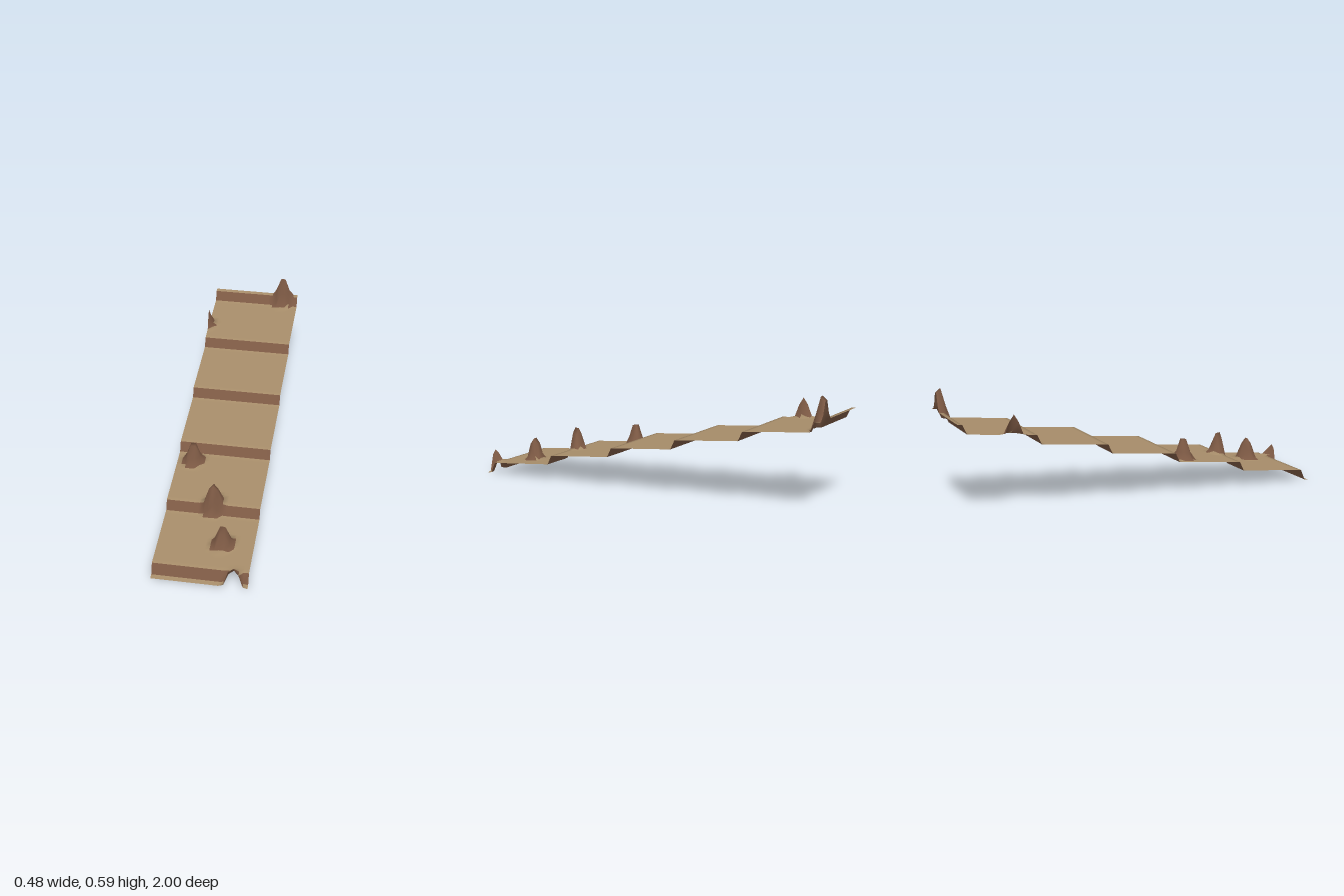
import * as THREE from 'three';

const COLS = 20, ROWS = 83, WIDTH = 0.482, LENGTH = 2;

// Rock mounds: centre x, centre z
const MOUNDS = [
  [0.168, 1.0], [0.084, 0.783], [0, 0.557],
  [-0.156, 0.265], [-0.262, -0.711], [0.156, -0.978],
];
// Mound height at every 0.012 from its centre
const MOUND_PROFILE = [0.12, 0.118, 0.098, 0.05, 0.008, 0];

function moundHeight(x, z) {
  let h = 0;
  for (const [cx, cz] of MOUNDS) {
    const t = Math.hypot(x - cx, z - cz) / 0.012;
    const i = Math.floor(t);
    if (i >= MOUND_PROFILE.length - 1) continue;
    h = Math.max(h, THREE.MathUtils.lerp(MOUND_PROFILE[i], MOUND_PROFILE[i + 1], t - i));
  }
  return h;
}

// Gently rising ledges, each 16 rows long, joined by steep one-row risers
function ledgeHeight(row) {
  if (row < 2) return row * 0.004;
  const step = Math.floor((row - 2) / 16);
  return 0.06 + step * 0.0818 + (row - 2 - step * 16) * 0.0021;
}

export function createModel() {
  const group = new THREE.Group();
  group.name = 'steppedTerrain';

  const sand = new THREE.MeshStandardMaterial({ color: 0xa68c69, side: THREE.DoubleSide });
  sand.name = 'sand';
  const rock = new THREE.MeshStandardMaterial({ color: 0x7b5843, side: THREE.DoubleSide });
  rock.name = 'brownRock';

  // Height field over a regular grid
  const terrain = new THREE.PlaneGeometry(WIDTH, LENGTH, COLS, ROWS);
  terrain.rotateX(-Math.PI / 2);
  const pos = terrain.attributes.position;
  const mound = [];
  for (let i = 0; i < pos.count; i++) {
    const row = ROWS - Math.floor(i / (COLS + 1));
    mound[i] = moundHeight(pos.getX(i), pos.getZ(i));
    pos.setY(i, ledgeHeight(row) + mound[i]);
  }
  terrain.computeVertexNormals();

  // Sort the faces by steepness into ledges, risers and mounds
  const parts = { ledges: [], risers: [], mounds: [] };
  const index = terrain.index;
  const tri = new THREE.Triangle();
  const normal = new THREE.Vector3();
  for (let f = 0; f < index.count; f += 3) {
    const corners = [index.getX(f), index.getX(f + 1), index.getX(f + 2)];
    tri.setFromAttributeAndIndices(pos, ...corners);
    tri.getNormal(normal);
    const onMound = Math.max(...corners.map((c) => mound[c])) > 0.012;
    const steep = normal.y < 0.75 || Math.min(...corners.map((c) => mound[c])) > 0.06;
    const part = !steep ? 'ledges' : onMound ? 'mounds' : 'risers';
    parts[part].push(...corners);
  }

  // The parts share vertices and smooth normals
  for (const [name, faces] of Object.entries(parts)) {
    const geometry = new THREE.BufferGeometry();
    geometry.setAttribute('position', pos);
    geometry.setAttribute('normal', terrain.attributes.normal);
    geometry.setIndex(faces);
    const mesh = new THREE.Mesh(geometry, name === 'ledges' ? sand : rock);
    mesh.name = name;
    group.add(mesh);
  }
  return group;
}
